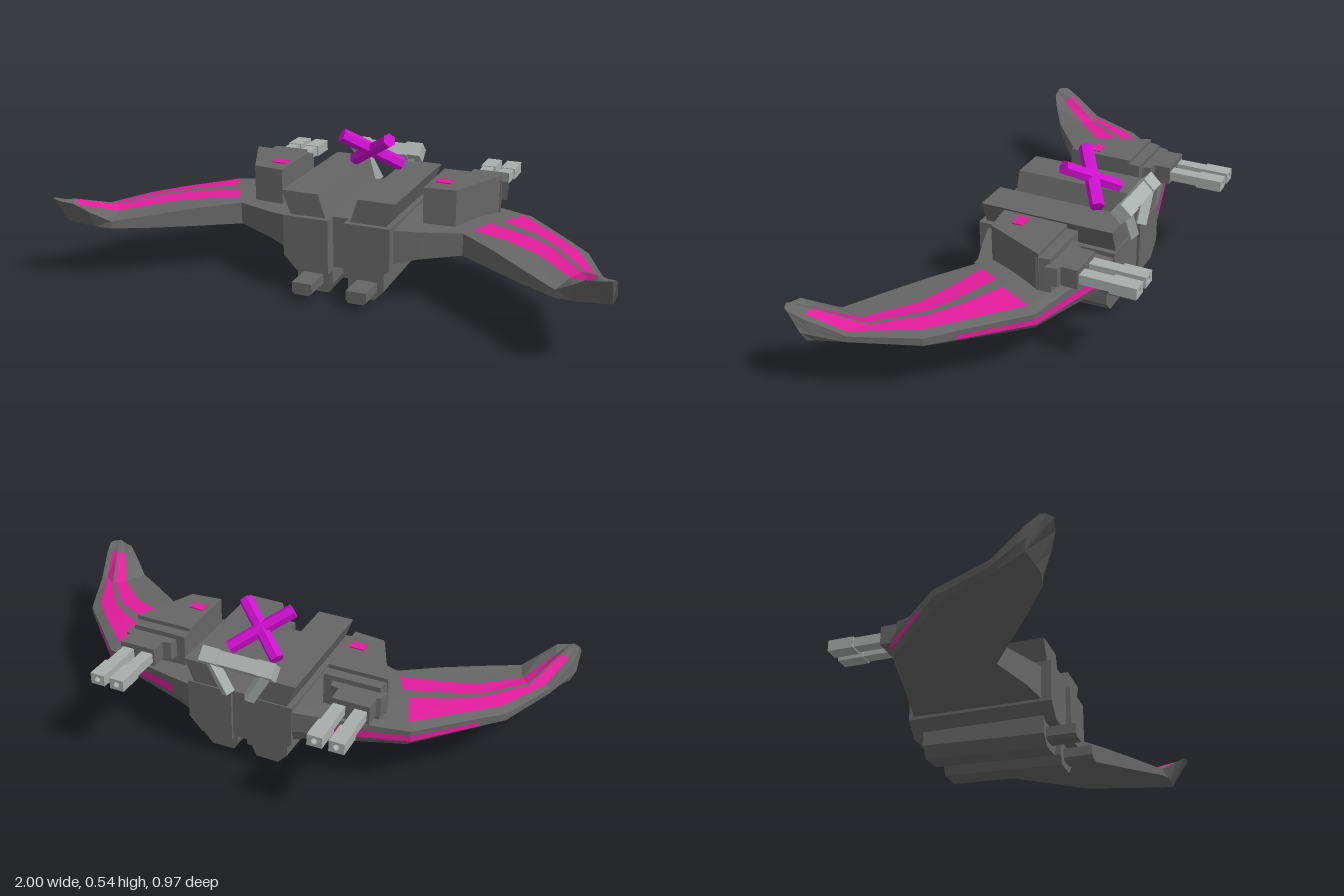
import * as THREE from 'three';

const mat = (name, color, extra = {}) => {
  const m = new THREE.MeshStandardMaterial({ color, ...extra });
  m.name = name;
  return m;
};

// Prism from an outline in x,y, running along z
function prismZ(pts, z0, z1, hole) {
  const s = new THREE.Shape(pts.map(p => new THREE.Vector2(...p)));
  if (hole) {
    const h = new THREE.Path();
    h.absarc(hole[0], hole[1], hole[2], 0, Math.PI * 2, true);
    s.holes.push(h);
  }
  return new THREE.ExtrudeGeometry(s, { depth: z1 - z0, bevelEnabled: false, curveSegments: 4 }).translate(0, 0, z0);
}

// Prism from an outline in x,z, running along y
function prismY(pts, y0, y1) {
  const s = new THREE.Shape(pts.map(([x, z]) => new THREE.Vector2(x, -z)));
  return new THREE.ExtrudeGeometry(s, { depth: y1 - y0, bevelEnabled: false }).rotateX(-Math.PI / 2).translate(0, y0, 0);
}

const box = (x0, x1, y0, y1, z0, z1) =>
  new THREE.BoxGeometry(x1 - x0, y1 - y0, z1 - z0).translate((x0 + x1) / 2, (y0 + y1) / 2, (z0 + z1) / 2);

// Straight bar between two points
function beam(a, b, w, h, round) {
  const p = new THREE.Vector3(...a), q = new THREE.Vector3(...b);
  const len = p.distanceTo(q);
  const g = round ? new THREE.CylinderGeometry(w, w, len, 6).toNonIndexed().rotateX(Math.PI / 2) : new THREE.BoxGeometry(w, h, len);
  g.applyQuaternion(new THREE.Quaternion().setFromUnitVectors(new THREE.Vector3(0, 0, 1), q.clone().sub(p).normalize()));
  const c = p.add(q).multiplyScalar(0.5);
  g.translate(c.x, c.y, c.z);
  g.computeVertexNormals();
  return g;
}

// Mirror in x, keeping faces turned outward
function mirrored(geo) {
  const g = geo.index ? geo.toNonIndexed() : geo.clone();
  const p = g.attributes.position;
  const v = [0, 1, 2].map(() => new THREE.Vector3());
  for (let i = 0; i < p.count; i += 3) {
    v.forEach((q, k) => q.fromBufferAttribute(p, i + k));
    [0, 2, 1].forEach((k, n) => p.setXYZ(i + n, -v[k].x, v[k].y, v[k].z));
  }
  g.computeVertexNormals();
  return g;
}

// Wing stations: top points (x,z) from back edge to front edge,
// then heights: back, ridge, front, back bottom, front bottom, and z shift of the bottom
const STATIONS = [
  [[[.18, -.295], [.18, -.2], [.18, -.05], [.18, 0], [.18, .08], [.18, .2]], [.272, .28, .275, .145, .145, 0]],
  [[[.28, -.27], [.28, -.19], [.28, -.05], [.28, 0], [.28, .08], [.28, .168]], [.265, .28, .27, .165, .17, 0]],
  [[[.59, -.19], [.57, -.155], [.525, -.04], [.49, 0], [.45, .08], [.425, .115]], [.25, .275, .268, .188, .187, 0]],
  [[[.77, -.01], [.735, 0], [.66, .03], [.64, .06], [.585, .12], [.56, .215]], [.245, .27, .262, .195, .193, 0]],
  [[[.845, .065], [.82, .09], [.75, .1], [.735, .115], [.70, .175], [.68, .305]], [.24, .262, .25, .2, .2, 0]],
  [[[.94, .28], [.922, .295], [.868, .25], [.86, .262], [.835, .3], [.805, .395]], [.243, .252, .237, .21, .21, 0]],
  [[[.987, .40], [.967, .41], [.94, .405], [.935, .41], [.915, .425], [.865, .44]], [.3, .31, .28, .218, .215, -.03]],
  [[[1, .45], [.99, .468], [.975, .476], [.965, .48], [.95, .476], [.91, .468]], [.322, .325, .315, .22, .217, -.06]],
];

function wingGeometry() {
  const mix = THREE.MathUtils.lerp;
  const loops = STATIONS.map(([t, [yb, yr, yf, bb, bf, dz]]) => {
    const ys = [yb, mix(yb, yr, .5), yr, yr, mix(yr, yf, .5), yf];
    const wall = k => [t[0][0], mix(bb, yb, k), t[0][1] + dz * (1 - k)];
    return [
      [t[0][0] - .015, bb, t[0][1] + dz + .01], wall(.35), wall(.68),
      ...t.map(([x, z], i) => [x, ys[i], z]),
      [t[5][0], bf, t[5][1] + dz],
    ];
  });
  const faces = [[], []];
  const n = loops[0].length;
  for (let i = 0; i < loops.length - 1; i++) {
    for (let j = 0; j < n; j++) {
      const k = (j + 1) % n;
      const a = loops[i][j], b = loops[i][k], c = loops[i + 1][k], d = loops[i + 1][j];
      const topStripe = (j === 4 || j === 6) && i >= 2 && i <= 5;
      const wallStripe = j === 1 && i >= 1 && i <= 2;
      faces[topStripe || wallStripe ? 1 : 0].push(...a, ...b, ...c, ...a, ...c, ...d);
    }
  }
  const tip = loops[loops.length - 1];
  for (let j = 1; j < n - 1; j++) faces[0].push(...tip[0], ...tip[j], ...tip[j + 1]);
  return faces.map(f => {
    const g = new THREE.BufferGeometry();
    g.setAttribute('position', new THREE.Float32BufferAttribute(f, 3));
    g.computeVertexNormals();
    return g;
  });
}

export function createModel() {
  const model = new THREE.Group();
  model.name = 'glider';
  const hull = mat('hull grey', 0x666666);
  const steel = mat('light metal', 0xa9afad);
  const pink = mat('pink stripe', 0xe31c9c);
  const violet = mat('violet cross', 0xd010d0);

  const add = (name, geo, material) => {
    const m = new THREE.Mesh(geo, material);
    m.name = name;
    model.add(m);
  };
  const pair = (name, geo, material) => {
    add(name + 'Left', geo, material);
    add(name + 'Right', mirrored(geo), material);
  };

  // Fuselage with a recessed centre seam
  add('bodyCore', box(-.045, .045, .1, .29, -.285, .18), hull);
  pair('bodySide', prismZ([[.03, .29], [.2, .29], [.2, .14], [.15, .088], [.03, .088]], -.295, .23), hull);

  // Raised top rails leaving a V-shaped groove
  pair('topRail', prismZ([[.045, .285], [.178, .285], [.212, .375], [.075, .375]], -.29, .21), hull);

  // Wings
  const [wing, stripes] = wingGeometry();
  pair('wing', wing, hull);
  pair('wingStripes', stripes, pink);

  // Shoulder pods, gun mounts and twin barrels
  pair('shoulderPod', prismY([[.27, .088], [.385, .075], [.485, -.15], [.27, -.15]], .26, .405), hull);
  pair('podBack', prismY([[.27, -.14], [.485, -.14], [.475, -.19], [.27, -.19]], .265, .39), hull);
  pair('podMark', box(.29, .345, .404, .409, -.02, .018), pink);
  pair('gunMount', prismY([[.3, -.18], [.5, -.18], [.49, -.22], [.475, -.225], [.475, -.285], [.34, -.285], [.34, -.225], [.31, -.22]], .303, .372), hull);
  for (const x of [.368, .444]) {
    pair('gunBarrel', box(x - .022, x + .022, .318, .353, -.40, -.27), steel);
    const r = .027;
    pair('gunMuzzle', prismZ([[x - r, .315], [x + r, .315], [x + r, .356], [x - r, .356]], -.485, -.39, [x, .336, .011]), steel);
  }

  // Underslung engines, bottoms rising slightly toward the back
  const engine = prismZ([[.03, .14], [.165, .14], [.165, .038], [.13, 0], [.045, .002], [.03, .035]], -.255, .19);
  const p = engine.attributes.position;
  for (let i = 0; i < p.count; i++) if (p.getY(i) < .1) p.setY(i, p.getY(i) + (.19 - p.getZ(i)) * .033);
  engine.computeVertexNormals();
  pair('engine', engine, hull);
  pair('engineNozzle', prismZ([[.065, .07], [.14, .07], [.14, .035], [.13, .025], [.075, .025], [.065, .035]], .18, .295), hull);

  // Rear handle: cross bar with bent ends and converging legs
  add('handleBar', new THREE.BoxGeometry(.17, .05, .05).rotateX(.8).translate(0, .407, -.285), steel);
  pair('handleEnd', new THREE.BoxGeometry(.065, .055, .055).rotateX(.8).translate(.105, .41, -.288), steel);
  pair('handleLeg', beam([.11, .41, -.293], [.04, .285, -.293], .035, .035), steel);

  // Crossed bars leaning forward
  for (const s of [-1, 1]) {
    add('crossBar', beam([-s * .092, .392, -.182], [s * .092, .518, -.052], .026, .026, true), violet);
  }
  return model;
}
